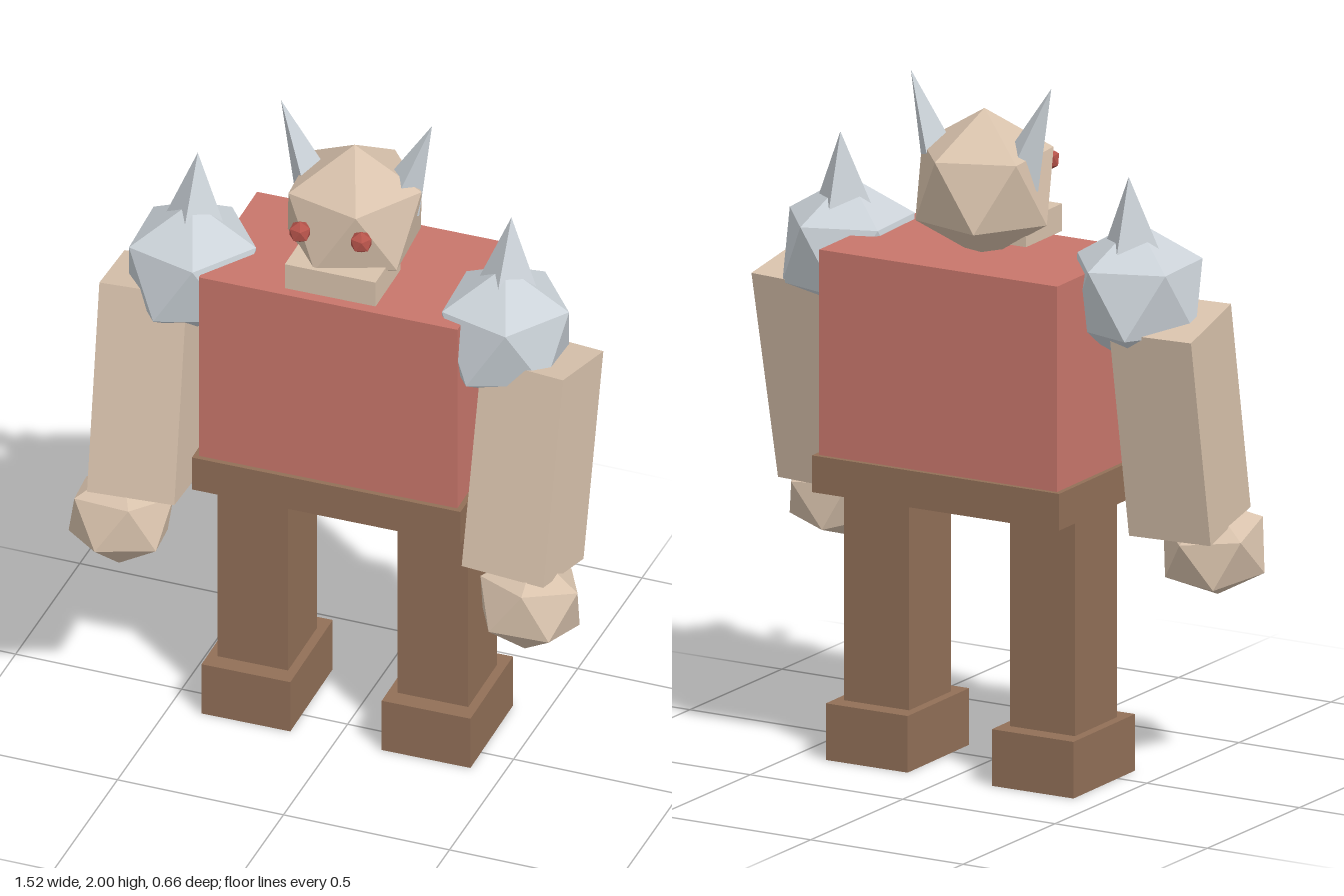
import * as THREE from 'three';

const mat = (name, color) => {
  const m = new THREE.MeshStandardMaterial({ color, flatShading: true });
  m.name = name;
  return m;
};

export function createModel() {
  const model = new THREE.Group();
  model.name = 'hornedBrute';
  const red = mat('tunic red', 0xc8766b);
  const brown = mat('leather brown', 0x916f57);
  const skin = mat('stone tan', 0xd8c2ac);
  const metal = mat('steel grey', 0xcbd2d8);
  const eyeRed = mat('eye red', 0xb5534a);

  const add = (name, geometry, material, pos, rot = [0, 0, 0], parent = model) => {
    const mesh = new THREE.Mesh(geometry, material);
    mesh.name = name;
    mesh.position.set(...pos);
    mesh.rotation.set(rot[0], rot[1], rot[2], 'YXZ');
    parent.add(mesh);
    return mesh;
  };
  const box = (w, h, d) => new THREE.BoxGeometry(w, h, d);

  // Twenty-sided ball standing on a corner, with one upper ring corner towards +x
  const ball = (r, ry = r) =>
    new THREE.IcosahedronGeometry(1, 0).rotateZ(-Math.atan(2 / (1 + Math.sqrt(5)))).scale(r, ry, r);

  // Four-sided spike running from its base centre to its tip
  const spike = (name, base, tip, radius) => {
    const a = new THREE.Vector3(...base);
    const dir = new THREE.Vector3(...tip).sub(a);
    const length = dir.length();
    const geo = new THREE.ConeGeometry(radius, length, 4).translate(0, length / 2, 0);
    const mesh = add(name, geo, metal, base);
    mesh.quaternion.setFromUnitVectors(new THREE.Vector3(0, 1, 0), dir.normalize());
  };

  // Torso, belt and legs share a slight turn
  const body = new THREE.Group();
  body.name = 'body';
  body.position.set(-0.002, 0, -0.08);
  body.rotation.y = 0.013;
  model.add(body);
  add('torso', box(0.775, 0.6, 0.47), red, [0, 1.205, 0], [0, 0, 0], body);
  add('belt', box(0.805, 0.107, 0.5), brown, [0, 0.853, 0], [0, 0, 0], body);
  for (const [side, s] of [['left', 1], ['right', -1]]) {
    add(side + 'Leg', box(0.212, 0.63, 0.233), brown, [s * 0.27, 0.475, 0], [0, 0, 0], body);
    add(side + 'Foot', box(0.266, 0.165, 0.342), brown, [s * 0.27, 0.0825, 0], [0, 0, 0], body);
  }

  // Head and jaw
  add('head', ball(0.22), skin, [0, 1.69, -0.055], [0, 0.07, 0]);
  add('jaw', box(0.272, 0.08, 0.2), skin, [0.003, 1.562, 0.047], [0, 0.013, 0]);

  // Paired parts of the head and arms
  for (const [side, s] of [['left', 1], ['right', -1]]) {
    const z = s > 0 ? -0.015 : -0.008;
    add(side + 'Eye', ball(0.034), eyeRed, [0.005 + s * 0.09, 1.724, 0.146 - s * 0.006], [0, 0.07, 0]);
    spike(side + 'Horn', [s * 0.115, 1.72, -0.075 - s * 0.01], [-0.004 + s * 0.222, 2, -0.08 - s * 0.014], 0.072);
    add(side + 'Shoulder', ball(0.21), metal, [s * 0.47, 1.427, z], [0, 0.05, 0]);
    spike(side + 'ShoulderSpike', [s * 0.47, 1.48, z - 0.01], [s * 0.471, 1.775, z - 0.043], 0.125);
    add(side + 'Arm', box(0.255, 0.635, 0.262), skin, [s * 0.577, 1.058, 0.052], [-0.2, -s * 0.09, 0]);
    add(side + 'Fist', ball(0.165, 0.148), skin, [s * 0.616, 0.665, 0.172], [-0.2, -s * 0.17, 0]);
  }
  return model;
}
